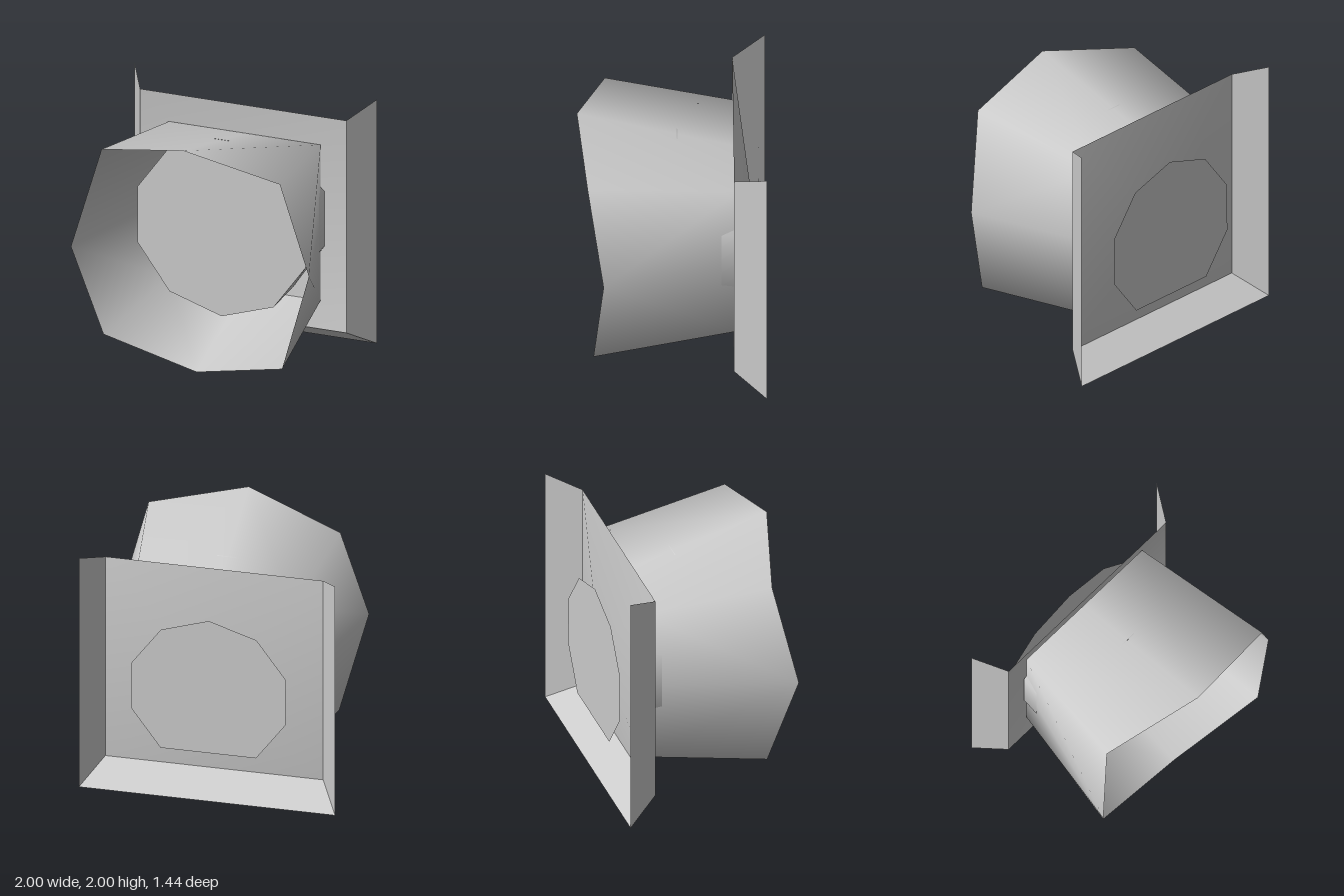
import * as THREE from 'three';

const material = () => new THREE.MeshStandardMaterial({ color: 0xcccccc, side: THREE.DoubleSide });

// Mesh from points and triangles; shared points give smooth normals
function surface(name, points, index) {
  const geometry = new THREE.BufferGeometry();
  geometry.setAttribute('position', new THREE.Float32BufferAttribute(points.flat(), 3));
  geometry.setIndex(index);
  geometry.computeVertexNormals();
  const mesh = new THREE.Mesh(geometry, material());
  mesh.name = name;
  return mesh;
}

// Wall between a back ring and a front ring, both clockwise seen from the front;
// the diagonals alternate so that both halves mirror each other
function loft(name, back, front) {
  const n = back.length, index = [];
  for (let i = 0; i < n; i++) {
    const j = (i + 1) % n;
    if (i % 2 === 0) index.push(i, n + i, j, j, n + i, n + j);
    else index.push(i, n + i, n + j, i, n + j, j);
  }
  return surface(name, [...back, ...front], index);
}

// Flat fan around the average of a ring
function cap(name, ring, facesFront) {
  const n = ring.length;
  const centre = [0, 1, 2].map(k => ring.reduce((sum, p) => sum + p[k], 0) / n);
  const index = [];
  for (let i = 0; i < n; i++) {
    const j = (i + 1) % n;
    if (facesFront) index.push(n, j, i);
    else index.push(n, i, j);
  }
  return surface(name, [...ring, centre], index);
}

// Clockwise decagon starting at the top
function decagon(radius, y, z) {
  return Array.from({ length: 10 }, (_, i) => {
    const a = i * Math.PI / 5;
    return [radius * Math.sin(a), y + radius * Math.cos(a), z];
  });
}

export function createModel() {
  const group = new THREE.Group();

  // Shallow, dished square mounting plate
  const plateRing = [[-0.85, 1.895, -0.47], [0.85, 1.895, -0.47], [0.85, 0.155, -0.47], [-0.85, 0.155, -0.47]];
  group.add(surface('mountingPlate', [...plateRing, [0, 1.025, -0.63]],
    [4, 1, 0, 4, 2, 1, 4, 3, 2, 4, 0, 3]));

  // Flared flanges on both sides and the bottom; the top is open
  const outer = [[-1, 2, -0.72], [1, 2, -0.72], [1, 0, -0.72], [-1, 0, -0.72]];
  ['leftFlange', 'bottomFlange', 'rightFlange'].forEach((name, k) => {
    const a = k + 1, b = (k + 2) % 4;
    group.add(surface(name, [plateRing[a], plateRing[b], outer[a], outer[b]], [0, 1, 2, 2, 1, 3]));
  });

  // Hood: square at the plate, opening to an uneven eight-sided rim
  const s = 0.625, top = 1.65, mid = 1.01, low = 0.375, zb = -0.504;
  const hoodBack = [[0, top, zb], [s, top, zb], [s, mid, zb], [s, low, zb],
    [0, low, zb], [-s, low, zb], [-s, mid, zb], [-s, top, zb]];
  const hoodRim = [[0, 1.957, 0.72], [0.765, 1.77, 0.645], [0.955, 1, 0.525], [0.765, 0.24, 0.6],
    [0, 0.045, 0.455], [-0.765, 0.24, 0.46], [-0.955, 1, 0.65], [-0.765, 1.77, 0.5]];
  group.add(loft('hood', hoodBack, hoodRim));

  // Ten-sided lamp body inside the hood, its top corner cut off, flattened towards the plate
  const zl = -0.04;
  const lensRing = [[-0.07, 1.768, zl], [0.07, 1.768, zl], ...decagon(0.73, 1.05, zl).slice(1)];
  const bodyBack = lensRing.map(([x, y]) => [x * 0.945, THREE.MathUtils.clamp(y, 0.45, 1.52), -0.5]);
  group.add(loft('lampBody', bodyBack, lensRing));
  group.add(cap('lens', lensRing, true));

  // Back cover, slightly tilted, with a straight lower edge
  const cover = decagon(0.634, 0.91, 0)
    .filter((_, i) => i !== 5)
    .map(([x, y]) => [x, y, -0.67 + (y - 0.91) * 0.012]);
  group.add(cap('backCover', cover, false));

  return group;
}
